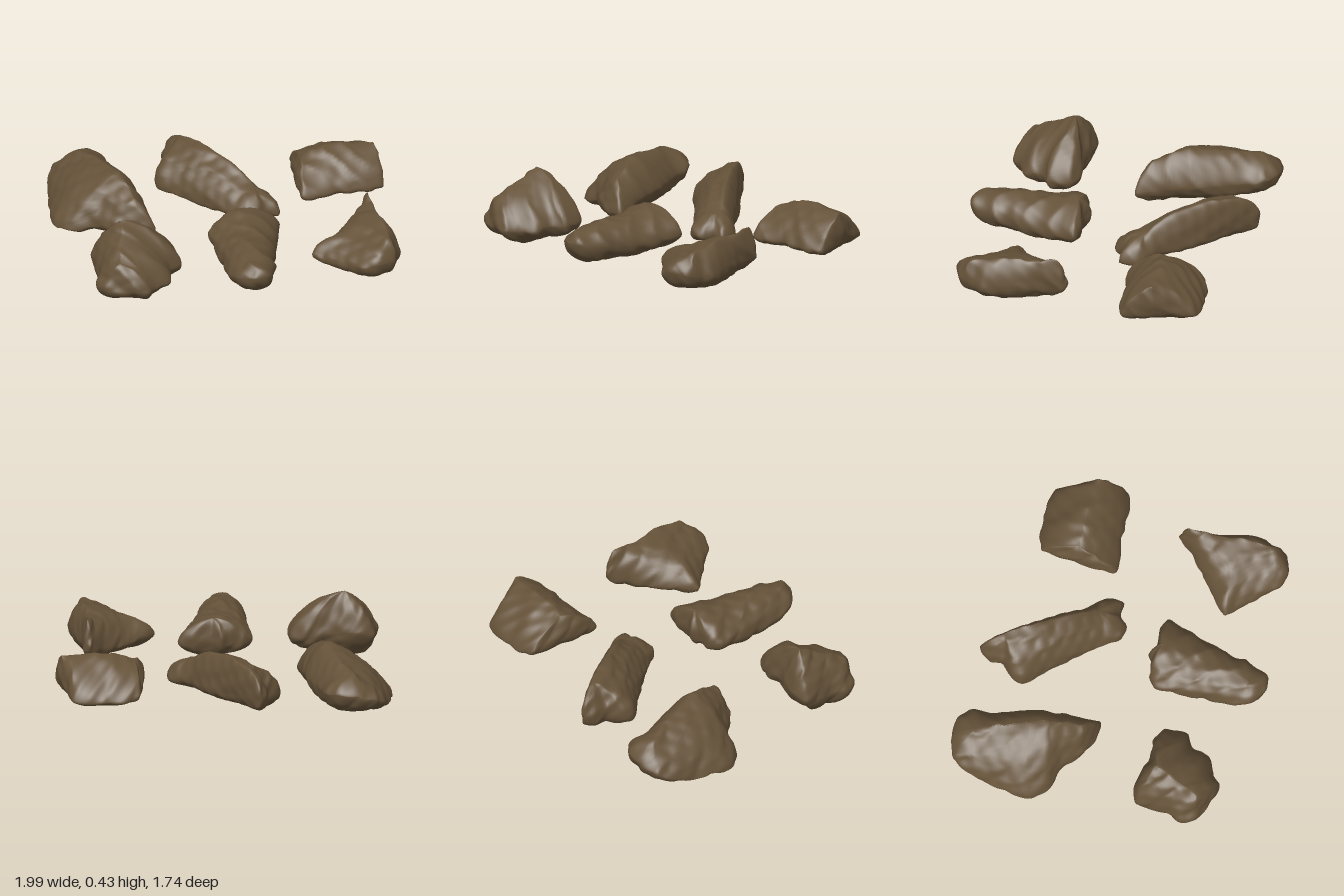
import * as THREE from 'three';

const SEGMENTS = 128, ROWS = 18;
const vectors = (list) => list.map((p) => new THREE.Vector3(...p));

// Small bumps and chipped ridges, the same everywhere for a given point
function roughness(p, seed) {
  const { x, y, z } = p;
  const broad = Math.sin(13 * x + 7 * y + seed) * Math.sin(11 * z - 9 * y + 2 * seed);
  const chips = Math.abs(Math.sin(17 * x - 14 * z + 12 * y + 3 * seed + broad));
  const fine = Math.sin(38 * x + 21 * z + seed) * Math.sin(33 * z - 29 * y) * Math.sin(35 * y + 19 * x);
  return 0.006 * broad + 0.008 * (0.6 - chips) + 0.005 * fine;
}

// Nearest point to p on a crest that is straight in plan, with evenly spaced heights
function nearestOnCrest(p, { from, to, heights }) {
  const dx = to[0] - from[0], dz = to[1] - from[1];
  const along = ((p.x - from[0]) * dx + (p.z - from[1]) * dz) / (dx * dx + dz * dz);
  const t = THREE.MathUtils.clamp(along, 0, 1);
  const s = t * (heights.length - 1), i = Math.min(Math.floor(s), heights.length - 2);
  const y = THREE.MathUtils.lerp(heights[i], heights[i + 1], s - i);
  return new THREE.Vector3(from[0] + dx * t, y, from[1] + dz * t);
}

// Rock skin: loops rise from the keel out to the rim, then in to the ridge
function rockGeometry({ rim, ridge, keel, topShape, bottomShape, seed }) {
  const curve = new THREE.CatmullRomCurve3(vectors(rim), true, 'catmullrom', 0.3);
  const loop = curve.getSpacedPoints(SEGMENTS).slice(0, SEGMENTS);
  const positions = [], index = [];
  for (let j = -ROWS; j <= ROWS; j++) {
    const a = (Math.abs(j) / ROWS) * Math.PI / 2;
    const e = j < 0 ? bottomShape : topShape;
    // The two sides overlap slightly at the crest so that it closes
    const inward = 1.012 * (1 - Math.pow(Math.max(Math.cos(a), 0), e));
    const rise = Math.pow(Math.sin(a), e);
    for (const p of loop) {
      const q = nearestOnCrest(p, j < 0 ? keel : ridge);
      positions.push(p.x + (q.x - p.x) * inward, p.y + (q.y - p.y) * rise, p.z + (q.z - p.z) * inward);
    }
  }
  for (let j = 0; j < 2 * ROWS; j++) {
    for (let i = 0; i < SEGMENTS; i++) {
      const k = (i + 1) % SEGMENTS;
      const a = j * SEGMENTS + i, b = j * SEGMENTS + k;
      index.push(b, a, a + SEGMENTS, b, a + SEGMENTS, b + SEGMENTS);
    }
  }
  const geometry = new THREE.BufferGeometry();
  geometry.setAttribute('position', new THREE.Float32BufferAttribute(positions, 3));
  geometry.setIndex(index);
  // Offset by position only, so touching vertices stay together
  const pos = geometry.attributes.position, p = new THREE.Vector3();
  for (let i = 0; i < pos.count; i++) {
    p.fromBufferAttribute(pos, i);
    pos.setXYZ(i, p.x + roughness(p, seed), p.y + roughness(p, seed + 4), p.z + roughness(p, seed + 8));
  }
  geometry.computeVertexNormals();
  return geometry;
}

// Rims run clockwise from above as [x, y, z]; ridge and keel ends are [x, z]
const rocks = {
  backRightRock: {
    rim: [[-0.9, 0.16, -0.82], [-0.78, 0.2, -0.87], [-0.66, 0.2, -0.86], [-0.58, 0.19, -0.78], [-0.57, 0.18, -0.67],
      [-0.5, 0.17, -0.44], [-0.46, 0.14, -0.2], [-0.45, 0.11, -0.05], [-0.54, 0.11, -0.04], [-0.68, 0.1, -0.1],
      [-0.8, 0.08, -0.2], [-0.92, 0.05, -0.24], [-1, 0.04, -0.36], [-0.98, 0.07, -0.6], [-0.95, 0.11, -0.72]],
    ridge: { from: [-0.74, -0.74], to: [-0.55, -0.13], heights: [0.3, 0.345, 0.365, 0.29] },
    keel: { from: [-0.77, -0.7], to: [-0.64, -0.22], heights: [0.06, 0.01, 0.03] },
    topShape: 1.4, bottomShape: 1.05, seed: 1,
  },
  backMiddleRock: {
    rim: [[-0.2, 0.2, -0.85], [-0.12, 0.2, -0.76], [0, 0.17, -0.61], [0.12, 0.15, -0.45], [0.2, 0.13, -0.32],
      [0.31, 0.1, -0.21], [0.32, 0.09, -0.1], [0.23, 0.1, -0.09], [0.19, 0.1, -0.05], [0.1, 0.1, -0.06],
      [0.03, 0.1, -0.16], [-0.1, 0.1, -0.31], [-0.22, 0.1, -0.45], [-0.33, 0.11, -0.54], [-0.32, 0.13, -0.61],
      [-0.25, 0.17, -0.69], [-0.25, 0.18, -0.78]],
    ridge: { from: [-0.13, -0.71], to: [0.19, -0.22], heights: [0.34, 0.355, 0.32, 0.23] },
    keel: { from: [-0.2, -0.65], to: [0.18, -0.18], heights: [0.07, 0.05, 0.05] },
    topShape: 1.15, bottomShape: 0.9, seed: 2,
  },
  backLeftRock: {
    rim: [[0.5, 0.15, -0.65], [0.58, 0.12, -0.69], [0.72, 0.11, -0.7], [0.84, 0.11, -0.69], [0.9, 0.13, -0.66],
      [0.93, 0.16, -0.55], [0.98, 0.18, -0.42], [0.99, 0.14, -0.25], [0.87, 0.13, -0.22], [0.7, 0.13, -0.21],
      [0.55, 0.13, -0.19], [0.48, 0.14, -0.2], [0.47, 0.18, -0.4], [0.48, 0.17, -0.56]],
    ridge: { from: [0.52, -0.43], to: [0.95, -0.43], heights: [0.3, 0.335, 0.335, 0.32] },
    keel: { from: [0.57, -0.45], to: [0.88, -0.44], heights: [0.08, 0.07, 0.08] },
    topShape: 1.4, bottomShape: 0.85, seed: 3,
  },
  frontRightRock: {
    rim: [[-0.91, 0.17, 0.29], [-0.83, 0.2, 0.26], [-0.73, 0.2, 0.27], [-0.62, 0.19, 0.31], [-0.5, 0.17, 0.29],
      [-0.41, 0.16, 0.34], [-0.4, 0.16, 0.47], [-0.48, 0.15, 0.53], [-0.5, 0.14, 0.64], [-0.61, 0.13, 0.68],
      [-0.65, 0.13, 0.74], [-0.76, 0.13, 0.73], [-0.9, 0.13, 0.66], [-0.94, 0.14, 0.57], [-0.91, 0.15, 0.48],
      [-0.92, 0.16, 0.38]],
    ridge: { from: [-0.73, 0.37], to: [-0.81, 0.64], heights: [0.44, 0.37, 0.3] },
    keel: { from: [-0.8, 0.48], to: [-0.58, 0.45], heights: [0.02, 0.01, 0.05] },
    topShape: 1.4, bottomShape: 1.15, seed: 4,
  },
  frontMiddleRock: {
    rim: [[-0.19, 0.2, 0.22], [-0.13, 0.2, 0.17], [-0.04, 0.2, 0.16], [0, 0.2, 0.13], [0.06, 0.19, 0.16],
      [0.17, 0.18, 0.16], [0.25, 0.18, 0.2], [0.21, 0.17, 0.34], [0.16, 0.17, 0.5], [0.12, 0.17, 0.62],
      [0.12, 0.18, 0.7], [0.08, 0.2, 0.8], [0.04, 0.22, 0.85], [-0.04, 0.22, 0.86], [-0.13, 0.2, 0.8],
      [-0.16, 0.17, 0.7], [-0.16, 0.16, 0.5], [-0.18, 0.17, 0.35]],
    ridge: { from: [0.05, 0.2], to: [-0.03, 0.75], heights: [0.33, 0.31, 0.31, 0.28] },
    keel: { from: [0.03, 0.26], to: [-0.02, 0.68], heights: [0.09, 0.06, 0.08] },
    topShape: 1.1, bottomShape: 0.95, seed: 5,
  },
  frontLeftRock: {
    rim: [[0.72, 0.14, 0.19], [0.77, 0.18, 0.12], [0.81, 0.18, 0.14], [0.82, 0.18, 0.27], [0.86, 0.17, 0.42],
      [0.9, 0.16, 0.6], [0.86, 0.16, 0.66], [0.83, 0.17, 0.76], [0.72, 0.18, 0.8], [0.64, 0.16, 0.77],
      [0.54, 0.13, 0.66], [0.44, 0.12, 0.55], [0.38, 0.13, 0.49], [0.46, 0.13, 0.42], [0.6, 0.12, 0.3]],
    ridge: { from: [0.785, 0.18], to: [0.81, 0.66], heights: [0.34, 0.32, 0.32, 0.3] },
    keel: { from: [0.74, 0.3], to: [0.73, 0.66], heights: [0.07, 0.04, 0.06] },
    topShape: 1.35, bottomShape: 0.95, seed: 6,
  },
};

export function createModel() {
  const group = new THREE.Group();
  group.name = 'rocks';
  const stone = new THREE.MeshStandardMaterial({ color: 0x655239 });
  stone.name = 'brown stone';
  for (const [name, spec] of Object.entries(rocks)) {
    const mesh = new THREE.Mesh(rockGeometry(spec), stone);
    mesh.name = name;
    group.add(mesh);
  }
  // Rest the lowest rock on the ground
  group.position.y = -new THREE.Box3().setFromObject(group).min.y;
  return group;
}
